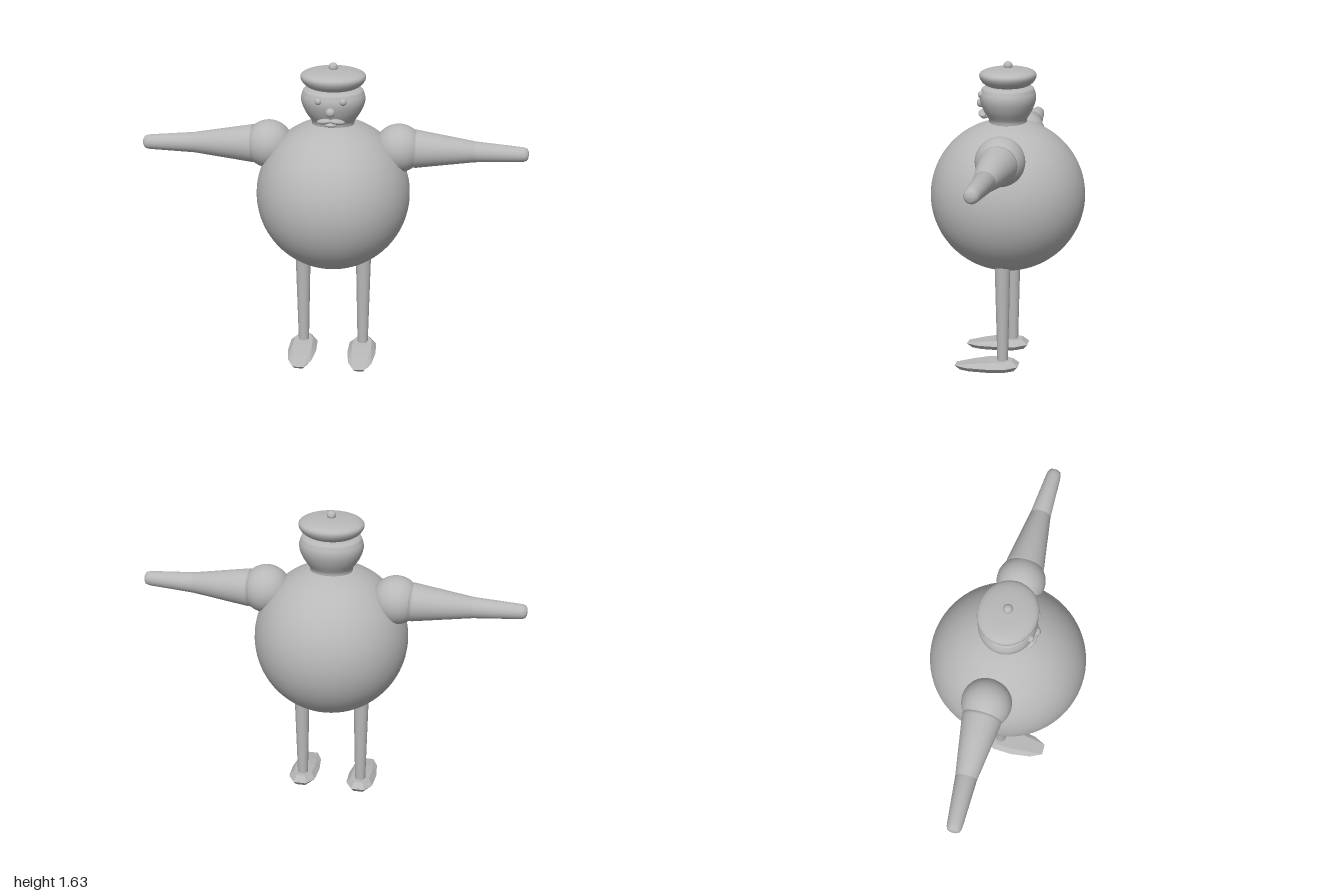
import * as THREE from 'three';
import { ConvexGeometry } from 'three/addons/geometries/ConvexGeometry.js';

const grey = new THREE.MeshStandardMaterial({ color: 0xb8b8b8 });
grey.name = 'plain grey';
const facetedGrey = grey;

export function createModel() {
  const model = new THREE.Group();
  model.name = 'roundFigure';

  const add = (name, geometry, x = 0, y = 0, z = 0, parent = model) => {
    const mesh = new THREE.Mesh(geometry, grey);
    mesh.name = name;
    mesh.position.set(x, y, z);
    parent.add(mesh);
    return mesh;
  };
  const ball = (name, r, x, y, z, sx = 1, sy = 1, sz = 1) => {
    const g = new THREE.SphereGeometry(r, 40, 28);
    g.scale(sx, sy, sz);
    return add(name, g, x, y, z);
  };
  // Lathe from [radius, y] points; the smooth option rounds the profile
  const lathe = (points, smooth) => {
    let pts = points.map(([r, y]) => new THREE.Vector2(r, y));
    if (smooth) pts = new THREE.SplineCurve(pts).getPoints(36);
    pts.forEach((p) => { p.x = Math.max(p.x, 0); });
    return new THREE.LatheGeometry(pts, 40);
  };
  // Limb turned around the line from a to b; profile is [radius, distance from a]
  const limb = (name, a, b, profile, smooth) => {
    const mesh = add(name, lathe(profile, smooth), ...a);
    const dir = new THREE.Vector3(...b).sub(new THREE.Vector3(...a)).normalize();
    mesh.quaternion.setFromUnitVectors(new THREE.Vector3(0, 1, 0), dir);
  };

  // Body
  const body = new THREE.SphereGeometry(0.4, 64, 48);
  body.scale(1, 1, 1.01);
  add('body', body, 0, 0.93, 0);

  // Head and flat cap, a little narrower from front to back
  const head = lathe([[0, 1.3], [0.098, 1.305], [0.113, 1.335], [0.145, 1.385],
    [0.163, 1.435], [0.158, 1.475], [0.13, 1.502], [0, 1.51]], true);
  head.scale(1, 1, 0.88);
  add('head', head);
  const cap = lathe([[0, 1.497], [0.1, 1.502], [0.145, 1.522], [0.166, 1.555],
    [0.153, 1.578], [0.1, 1.593], [0, 1.6]], true);
  cap.scale(1, 1, 0.88);
  add('cap', cap);
  ball('capButton', 0.023, 0, 1.608, 0);

  // Face
  ball('nose', 0.024, 0, 1.412, 0.139);
  ball('lowerLip', 0.03, 0, 1.343, 0.123, 1.1, 0.4, 0.7);
  for (const s of [1, -1]) {
    ball(s > 0 ? 'leftEye' : 'rightEye', 0.018, s * 0.062, 1.465, 0.127);
    const m = ball(s > 0 ? 'leftMoustache' : 'rightMoustache', 0.04, s * 0.033, 1.361, 0.128, 1, 0.34, 0.5);
    m.rotation.set(0, s * 0.3, -s * 0.16);
  }

  // Foot: three outline loops for sole, edge and instep
  const outline = [[0.035, -0.085], [0.073, -0.025], [0.077, 0.08], [0.062, 0.19], [0.03, 0.255]];
  const footPoints = [];
  for (const [w, z] of outline) {
    const t = (z + 0.085) / 0.34;
    for (const s of [1, -1]) {
      footPoints.push(
        new THREE.Vector3(s * w * 0.72, 0.012 - 0.012 * t, 0.07 + (z - 0.07) * 0.85),
        new THREE.Vector3(s * w, 0.04 - 0.016 * t, z),
        new THREE.Vector3(s * w * 0.68, 0.067 - 0.034 * t * t, 0.06 + (z - 0.06) * 0.78));
    }
  }
  const foot = new ConvexGeometry(footPoints);

  for (const s of [1, -1]) {
    const side = s > 0 ? 'left' : 'right';
    // Arm: shoulder ball, upper arm, forearm with rounded end
    ball(side + 'Shoulder', 0.125, s * 0.337, 1.183, -0.02);
    limb(side + 'UpperArm', [s * 0.4, 1.181, -0.022], [s * 0.726, 1.177, -0.017],
      [[0, 0], [0.098, 0], [0.098, 0.03], [0.054, 0.326], [0, 0.326]]);
    limb(side + 'Forearm', [s * 0.72, 1.177, -0.017], [s * 1, 1.174, -0.006],
      [[0, 0], [0.054, 0], [0.039, 0.235], [0.037, 0.255], [0.031, 0.271], [0.018, 0.278], [0, 0.28]]);
    // Leg and foot
    add(side + 'Leg', new THREE.CylinderGeometry(0.041, 0.028, 0.55, 32), s * 0.162, 0.325, 0);
    add(side + 'Foot', foot, s * 0.162, 0, 0);
  }
  return model;
}
